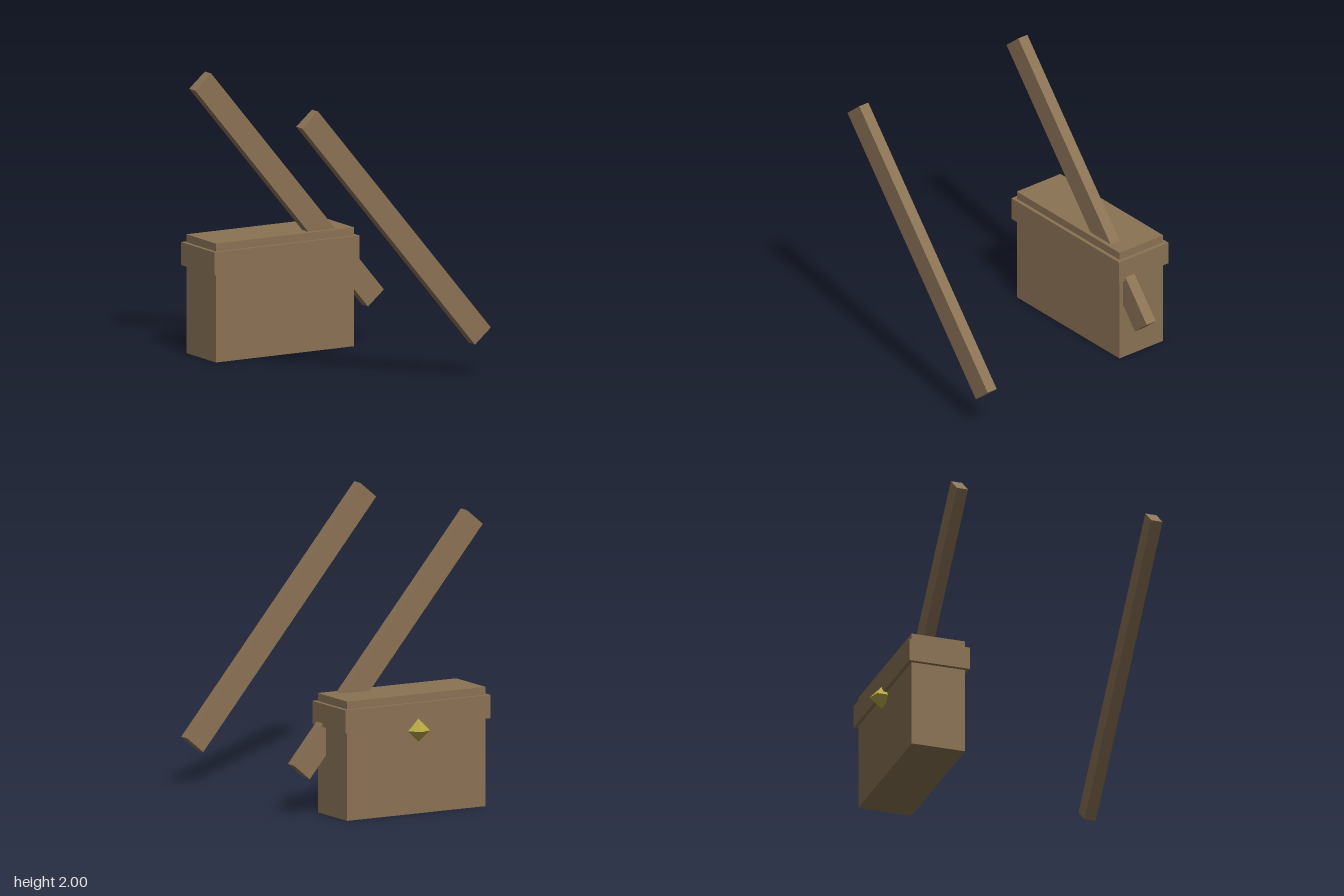
import * as THREE from 'three';

const wood = new THREE.MeshStandardMaterial({ color: 0x8b7355, flatShading: true });
const brass = new THREE.MeshStandardMaterial({ color: 0xb5a642, flatShading: true });

export function createModel() {
  const model = new THREE.Group();
  model.name = 'satchel';

  const add = (name, geometry, material, x, y, z) => {
    const mesh = new THREE.Mesh(geometry, material);
    mesh.name = name;
    mesh.position.set(x, y, z);
    model.add(mesh);
    return mesh;
  };

  const cx = -0.055, cz = -0.635;

  // Bag body with a slightly wider flap band around its top
  add('body', new THREE.BoxGeometry(1.1, 0.825, 0.385), wood, cx, 0.4125, cz);
  add('flap', new THREE.BoxGeometry(1.155, 0.16, 0.435), wood, cx, 0.69, cz);

  // Five-sided faceted clasp set into the back of the flap
  const clasp = add('clasp', new THREE.SphereGeometry(0.08, 5, 2), brass, cx, 0.58, -0.855);
  clasp.rotation.y = Math.PI;

  // Two parallel slanted straps, one through the bag and one in front
  const strap = new THREE.BoxGeometry(0.165, 2.14, 0.08);
  for (const [name, y, z] of [['backStrap', 1.13, -0.512], ['frontStrap', 1.103, 0.89]]) {
    add(name, strap, wood, 0, y, z).rotation.z = THREE.MathUtils.degToRad(40);
  }

  return model;
}
